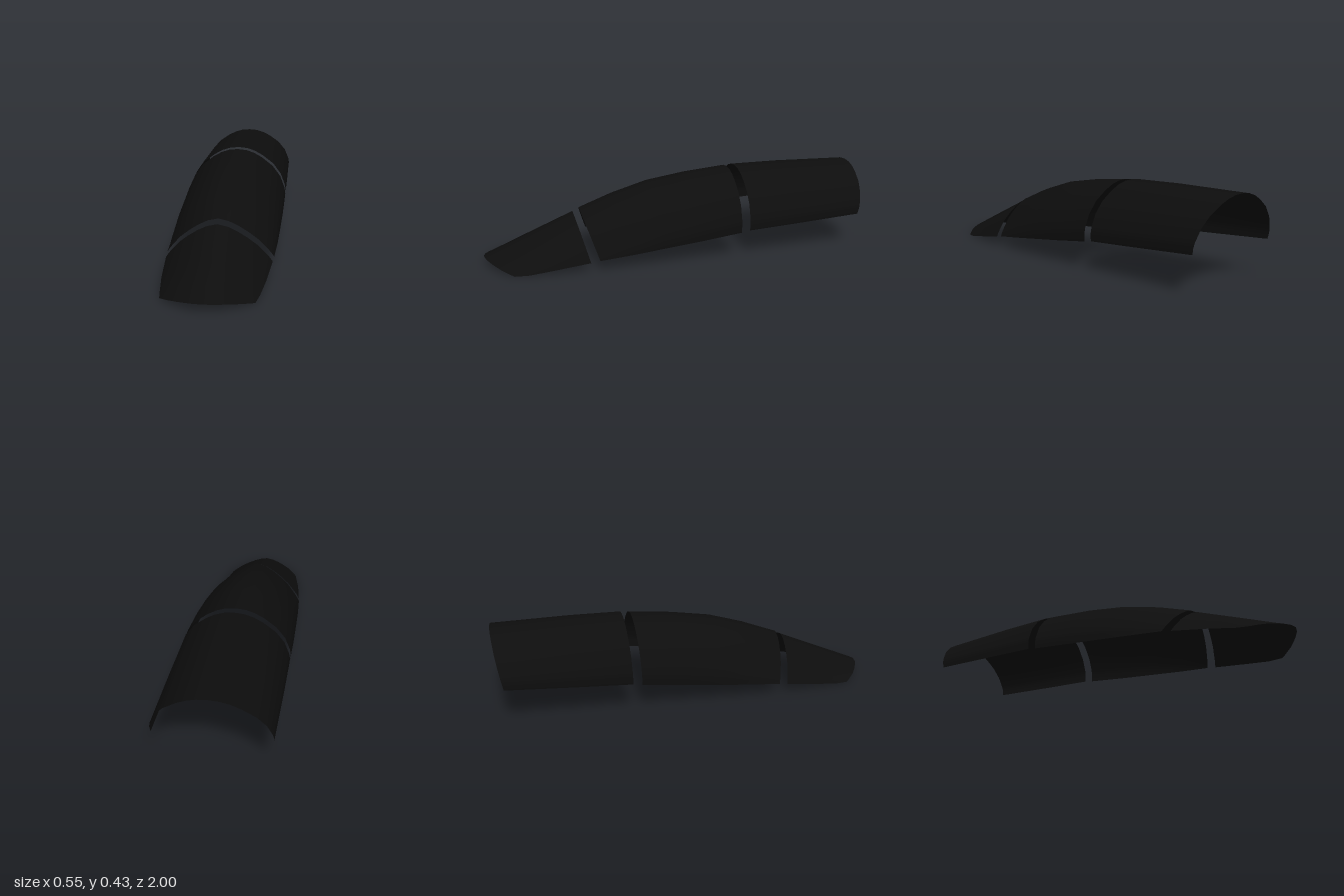
import * as THREE from 'three';

// Half arch outlines from crown to hem: [fraction of half width, fraction of height]
const ROUND = [[0, 1], [0.18, 0.983], [0.345, 0.93], [0.51, 0.84], [0.73, 0.674], [0.89, 0.468], [0.98, 0.238], [1, 0.13], [0.99, 0]];
const PEAKED = [[0, 1], [0.19, 0.94], [0.37, 0.815], [0.55, 0.65], [0.73, 0.45], [0.86, 0.25], [0.935, 0.13], [0.97, 0.06], [1, 0]];

// One arch: crown at (crownZ, crownY), hem at (hemZ, hemY), blended from round to peaked
function arch([crownZ, crownY, hemZ, hemY, halfWidth, peak]) {
  const half = ROUND.map((r, i) => {
    const s = THREE.MathUtils.lerp(r[0], PEAKED[i][0], peak);
    const t = THREE.MathUtils.lerp(r[1], PEAKED[i][1], peak);
    return [s * halfWidth, THREE.MathUtils.lerp(hemY, crownY, t), THREE.MathUtils.lerp(hemZ, crownZ, t)];
  });
  const mirrored = half.slice(1).reverse().map(([x, y, z]) => [-x, y, z]);
  return [...mirrored, ...half];
}

// Open shell lofted through arches listed from front to back
function shell(name, sections, material) {
  const rows = sections.map(arch);
  const n = rows[0].length;
  const index = [];
  for (let j = 0; j < rows.length - 1; j++) {
    for (let i = 0; i < n - 1; i++) {
      const a = j * n + i, b = a + 1, c = a + n, d = c + 1;
      index.push(a, b, c, b, d, c);
    }
  }
  const geometry = new THREE.BufferGeometry();
  geometry.setAttribute('position', new THREE.Float32BufferAttribute(rows.flat(2), 3));
  geometry.setIndex(index);
  geometry.computeVertexNormals();
  const mesh = new THREE.Mesh(geometry, material);
  mesh.name = name;
  return mesh;
}

export function createModel() {
  const black = new THREE.MeshStandardMaterial({ color: 0x0d0d0d, side: THREE.DoubleSide });
  black.name = 'black';

  const group = new THREE.Group();
  group.name = 'segmentedCover';

  // Tapered tip with a curved front lip
  group.add(shell('tipShell', [
    [1, 0.044, 0.86, 0, 0.207, 1],
    [0.9, 0.087, 0.79, 0.003, 0.22, 1],
    [0.77, 0.142, 0.68, 0.021, 0.237, 1],
    [0.54, 0.239, 0.49, 0.05, 0.256, 1],
  ], black));

  // Middle segment, swelling from the peaked arch to the round one
  group.add(shell('middleShell', [
    [0.508, 0.257, 0.445, 0.058, 0.26, 1],
    [0.33, 0.322, 0.29, 0.074, 0.268, 0.6],
    [0.14, 0.375, 0.12, 0.093, 0.272, 0.3],
    [-0.07, 0.405, -0.08, 0.115, 0.275, 0.1],
    [-0.295, 0.425, -0.29, 0.14, 0.275, 0],
  ], black));

  // Straight rear segment with a slanted back edge
  group.add(shell('rearShell', [
    [-0.34, 0.428, -0.335, 0.148, 0.275, 0],
    [-0.6, 0.429, -0.58, 0.161, 0.273, 0],
    [-1, 0.42, -0.953, 0.182, 0.267, 0],
  ], black));

  return group;
}
